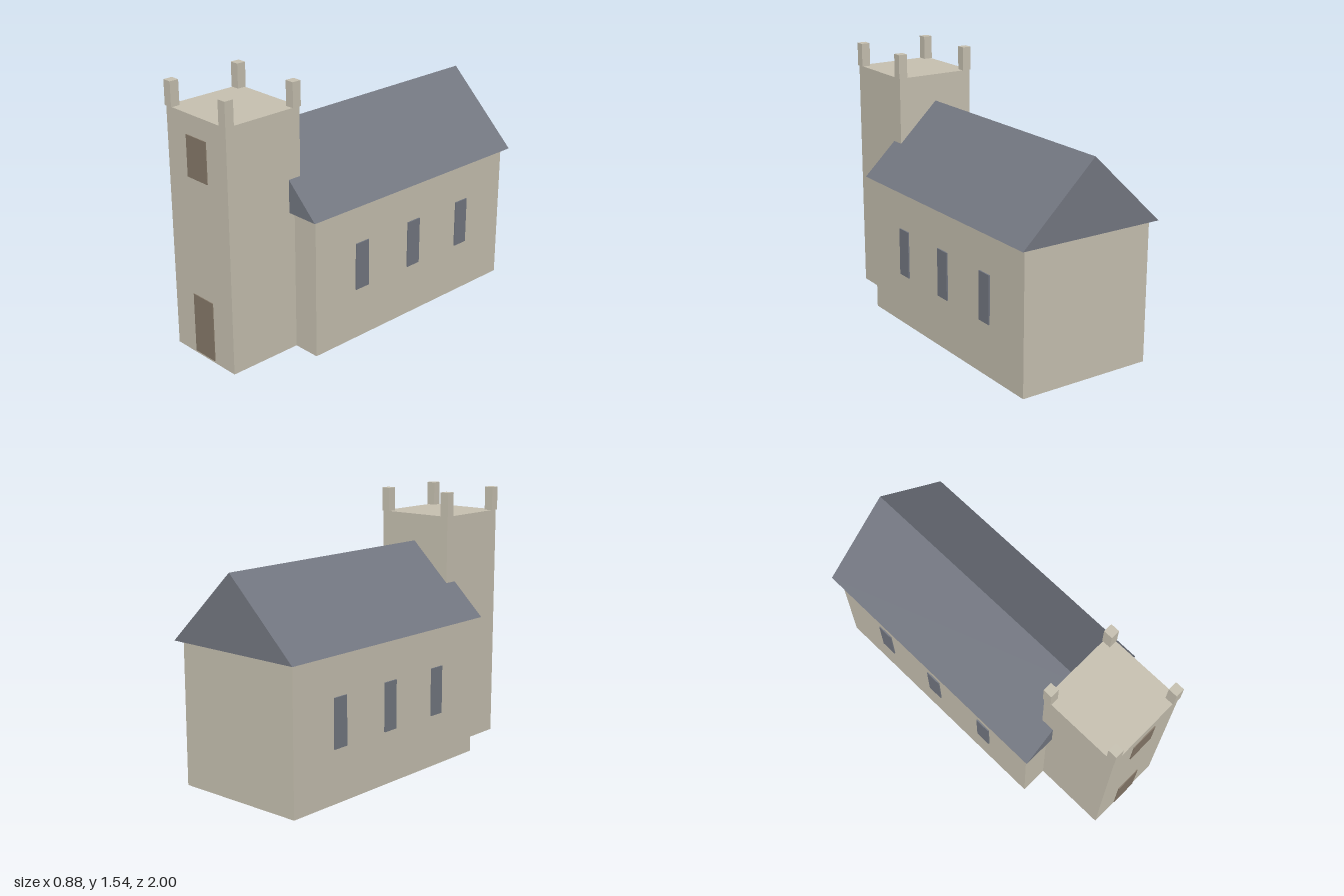
import * as THREE from 'three';

const stone = new THREE.MeshStandardMaterial({ name: 'stone', color: 0xc6c0b0 });
const slate = new THREE.MeshStandardMaterial({ name: 'slate', color: 0x737781 });
const wood = new THREE.MeshStandardMaterial({ name: 'wood', color: 0x867969 });

// Box given by its minimum and maximum corners
function block(name, material, [x0, y0, z0], [x1, y1, z1]) {
  const geometry = new THREE.BoxGeometry(x1 - x0, y1 - y0, z1 - z0);
  const mesh = new THREE.Mesh(geometry, material);
  mesh.name = name;
  mesh.position.set((x0 + x1) / 2, (y0 + y1) / 2, (z0 + z1) / 2);
  return mesh;
}

export function createModel() {
  const church = new THREE.Group();
  church.name = 'church';

  // Main body and bell tower
  church.add(block('nave', stone, [-0.407, 0, -0.965], [0.407, 0.82, 0.55]));
  church.add(block('tower', stone, [-0.243, 0, 0.507], [0.243, 1.4, 0.995]));

  // Gabled roof, overhanging the nave
  const gable = new THREE.Shape([
    new THREE.Vector2(-0.442, 0.82),
    new THREE.Vector2(0.442, 0.82),
    new THREE.Vector2(0, 1.24),
  ]);
  const roof = new THREE.Mesh(new THREE.ExtrudeGeometry(gable, { depth: 1.587, bevelEnabled: false }), slate);
  roof.name = 'roof';
  roof.position.z = -1;
  church.add(roof);

  // Pinnacles, standing slightly proud of the tower corners
  for (const x of [-0.222, 0.222]) {
    for (const z of [0.529, 0.973]) {
      church.add(block('pinnacle', stone, [x - 0.027, 1.4, z - 0.027], [x + 0.027, 1.54, z + 0.027]));
    }
  }

  // Door and belfry opening
  church.add(block('door', wood, [-0.081, 0.014, 0.992], [0.081, 0.365, 1]));
  church.add(block('belfryOpening', wood, [-0.081, 1.05, 0.992], [0.081, 1.284, 1]));

  // Three windows on each side
  for (const side of [-1, 1]) {
    for (const z of [-0.613, -0.205, 0.205]) {
      const x = side * 0.41;
      church.add(block('window', slate, [x - 0.0045, 0.305, z - 0.048], [x + 0.0045, 0.585, z + 0.048]));
    }
  }
  return church;
}
